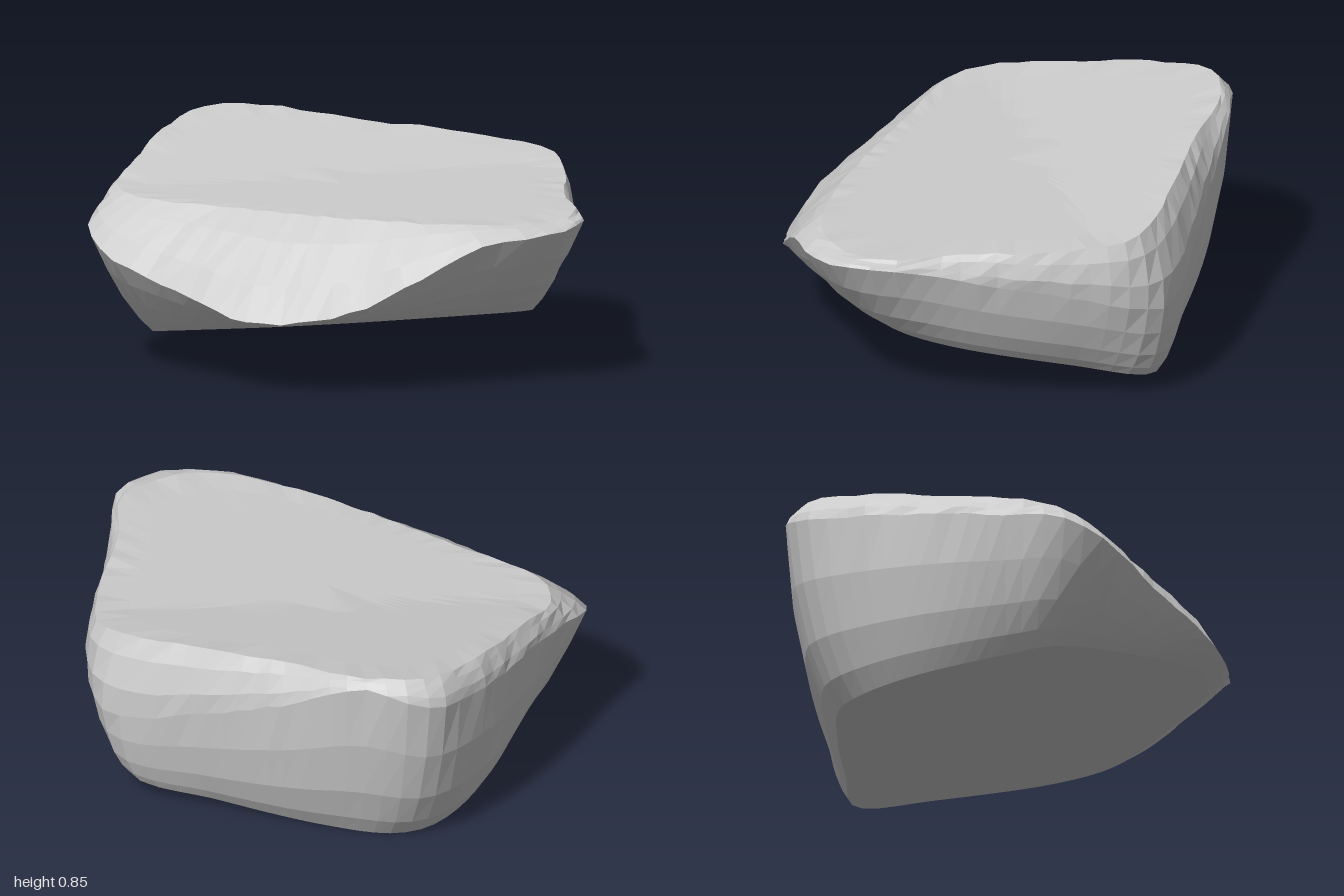
import * as THREE from 'three';

const SEGMENTS = 80;

// Underside tilts up to the front; the top climbs gently, then faster to the back left
const underY = (x, z) => Math.max(0, 0.14 + 0.185 * z + 0.065 * x);
const topY = (x, z) =>
  0.68 + 0.03 * Math.max(0, 0.6 - z) + 0.15 * Math.max(0, -z - 0.3 * x - 0.15);

// Small seeded noise for chipped edges
function seeded(seed) {
  return () => {
    seed = (seed * 16807) % 2147483647;
    return seed / 2147483647 - 0.5;
  };
}

// Closed outline resampled at even angles around the y axis
function ring(points) {
  const curve = new THREE.CatmullRomCurve3(
    points.map((p) => new THREE.Vector3(...p)), true, 'centripetal');
  const dense = curve.getPoints(900);
  return Array.from({ length: SEGMENTS }, (_, i) => {
    const a = (i / SEGMENTS) * Math.PI * 2;
    const facing = (p) => (p.x * Math.cos(a) + p.z * Math.sin(a)) / Math.hypot(p.x, p.z);
    return dense.reduce((best, p) => (facing(p) > facing(best) ? p : best)).clone();
  });
}

// Ring at fraction t between two others, swollen outwards where they lie far apart
function between(lower, upper, t, swell) {
  return lower.map((p, i) => {
    const m = p.clone().lerp(upper[i], t);
    const k = 1 + (swell * p.distanceTo(upper[i])) / Math.hypot(m.x, m.z);
    return m.set(m.x * k, m.y, m.z * k);
  });
}

// Ring shrunk towards the middle and laid on a height function
const inset = (source, k, height) => source.map((p) =>
  new THREE.Vector3(p.x * k, height(p.x * k, p.z * k), p.z * k));

function chip(source, amount, rand) {
  source.forEach((p) => {
    const k = 1 + rand() * amount;
    p.set(p.x * k, p.y + rand() * amount, p.z * k);
  });
}

// Skin over a stack of rings, lowest first
function loft(rings) {
  const index = [];
  for (let r = 0; r < rings.length - 1; r++) {
    for (let i = 0; i < SEGMENTS; i++) {
      const a = r * SEGMENTS + i;
      const b = r * SEGMENTS + ((i + 1) % SEGMENTS);
      index.push(a, a + SEGMENTS, b, b, a + SEGMENTS, b + SEGMENTS);
    }
  }
  const geometry = new THREE.BufferGeometry().setFromPoints(rings.flat());
  geometry.setIndex(index);
  geometry.computeVertexNormals();
  return geometry;
}

export function createModel() {
  const group = new THREE.Group();
  group.name = 'rock';
  const rand = seeded(41);

  // Edge of the flat underside, with its corners cut off
  const underside = ring([
    [0.67, -0.6], [0.73, -0.3], [0.77, 0.2], [0.7, 0.42], [0.37, 0.66],
    [0.08, 0.8], [-0.2, 0.77], [-0.34, 0.67], [-0.74, 0.2], [-0.74, 0.03],
    [-0.68, -0.36], [-0.56, -0.58], [-0.42, -0.67], [-0.15, -0.68], [0.3, -0.65],
  ].map(([x, z]) => [x, underY(x, z), z]));

  // Widest outline, dipping low at the front
  const belt = ring([
    [-0.35, 0.81, -0.88], [-0.62, 0.74, -0.84], [-0.78, 0.69, -0.56], [-0.88, 0.65, -0.2],
    [-0.93, 0.62, 0], [-1, 0.59, 0.2], [-0.99, 0.54, 0.32], [-0.93, 0.49, 0.42],
    [-0.75, 0.42, 0.56], [-0.56, 0.36, 0.7], [-0.35, 0.3, 0.84], [-0.1, 0.31, 0.885],
    [0.1, 0.36, 0.89], [0.4, 0.51, 0.87], [0.62, 0.62, 0.82], [0.8, 0.64, 0.77],
    [0.94, 0.65, 0.65], [1, 0.66, 0.5], [0.97, 0.64, 0.35], [0.93, 0.56, 0],
    [0.9, 0.5, -0.35], [0.87, 0.46, -0.5], [0.8, 0.42, -0.64], [0.67, 0.42, -0.71],
    [0.4, 0.5, -0.76], [0, 0.65, -0.83],
  ]);

  // Rim of the top
  const rim = ring([
    [-0.35, -0.84], [-0.58, -0.79], [-0.73, -0.55], [-0.83, -0.2], [-0.9, 0.08],
    [-0.8, 0.26], [-0.4, 0.43], [0, 0.59], [0.35, 0.69], [0.7, 0.71], [0.9, 0.57],
    [0.96, 0.43], [0.91, 0.2], [0.88, -0.3], [0.8, -0.55], [0.4, -0.68], [0, -0.75],
  ].map(([x, z]) => [x, topY(x, z), z]));

  // Rounded lower walls, then the slope up to the rim
  const flanks = [[0.12, 0.045], [0.33, 0.075], [0.65, 0.06]]
    .map(([t, swell]) => between(underside, belt, t, swell));
  const slopes = [[0.35, 0.08], [0.75, 0.07]]
    .map(([t, swell]) => between(belt, rim, t, swell));
  [belt, ...slopes, rim].forEach((r) => chip(r, 0.01, rand));

  const rings = [
    inset(underside, 0, underY), underside, ...flanks, belt, ...slopes, rim,
    ...[0.85, 0.65, 0.45, 0.25, 0].map((k) => inset(rim, k, topY)),
  ];

  const stone = new THREE.Mesh(
    loft(rings),
    new THREE.MeshStandardMaterial({ color: 0xcccccc, flatShading: true }));
  stone.name = 'stone';
  group.add(stone);
  return group;
}
